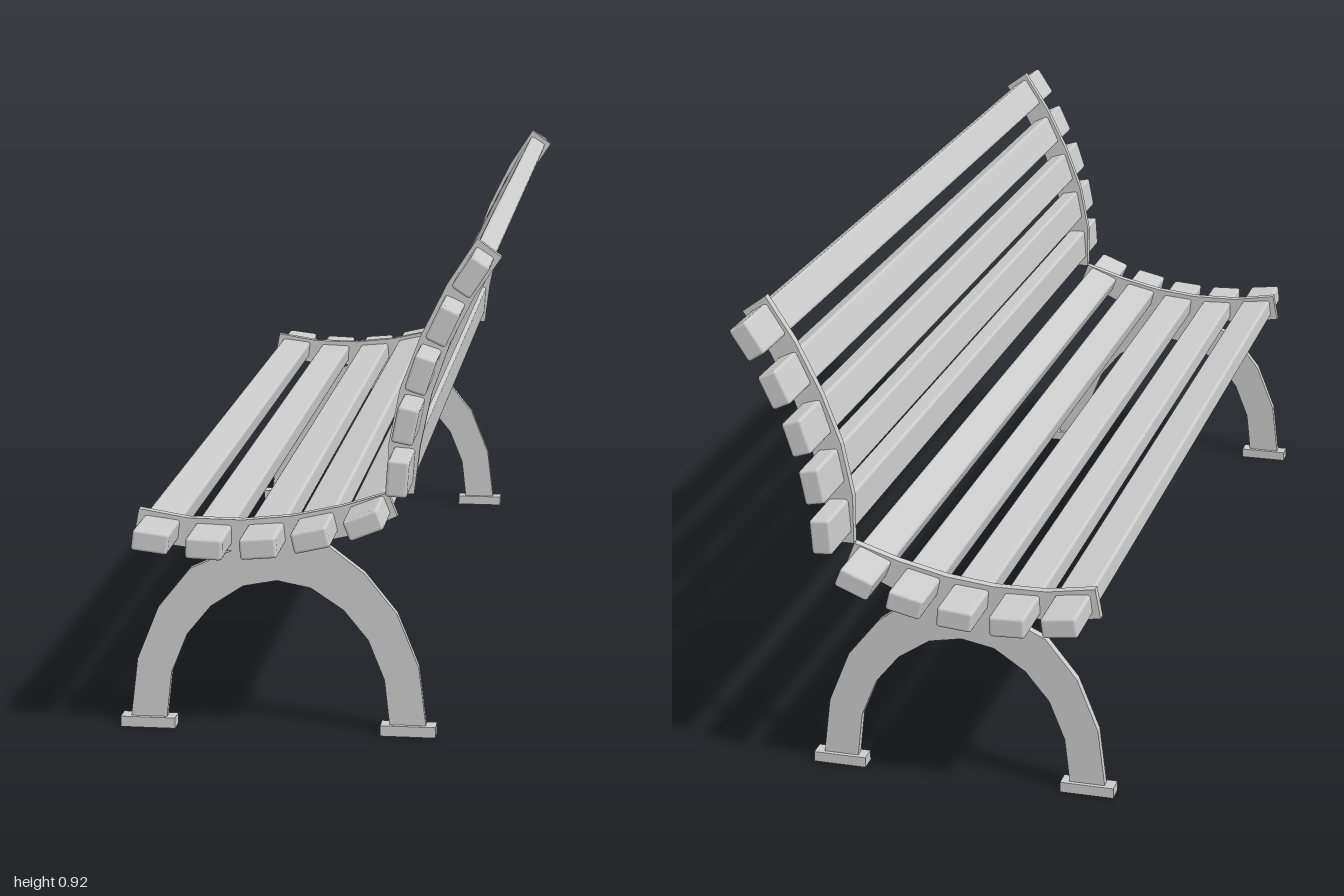
import * as THREE from 'three';
import { RoundedBoxGeometry } from 'three/addons/geometries/RoundedBoxGeometry.js';

const material = new THREE.MeshStandardMaterial({ color: 0xcccccc });
const flatMaterial = new THREE.MeshStandardMaterial({ color: 0xcccccc, flatShading: true });
const PLATE = 0.016; // thickness of the iron side frames
const FRAME_Z = 0.885;

// Flat plate cut from an outline in the xy plane, centred on z = 0
function plate(name, outline) {
  const shape = new THREE.Shape(outline.map(([x, y]) => new THREE.Vector2(x, y)));
  const geometry = new THREE.ExtrudeGeometry(shape, { depth: PLATE, bevelEnabled: false });
  geometry.translate(0, 0, -PLATE / 2);
  const mesh = new THREE.Mesh(geometry, flatMaterial);
  mesh.name = name;
  return mesh;
}

// Mirror half an arch profile about the arch's centre line
const ARCH_X = -0.0575;
const mirrored = (points) => points.map(([x, y]) => [2 * ARCH_X - x, y]).reverse();

function createFrame() {
  const frame = new THREE.Group();

  // Arched leg
  const outer = [[-0.332, 0.015], [-0.318, 0.13], [-0.278, 0.23], [-0.218, 0.305], [-0.138, 0.342]];
  const inner = [[-0.265, 0.015], [-0.255, 0.105], [-0.225, 0.18], [-0.18, 0.235], [-0.12, 0.275]];
  frame.add(plate('archLeg', [
    ...outer, [-0.1, 0.36], [0.01, 0.375], ...mirrored(outer).map(([x, y], i) => i === 0 ? [0.028, 0.362] : [x, y]),
    ...mirrored(inner).reverse().slice().map((p) => p),
    [ARCH_X, 0.287], ...inner.slice().reverse(),
  ]));

  // Curved seat support
  frame.add(plate('seatSupport', [
    [-0.322, 0.358], [-0.225, 0.345], [-0.138, 0.341], [-0.075, 0.345], [0, 0.357], [0.076, 0.375], [0.163, 0.414],
    [0.146, 0.457], [0.062, 0.43], [-0.03, 0.409], [-0.12, 0.399], [-0.22, 0.4], [-0.311, 0.415],
  ]));

  // Curved back support
  frame.add(plate('backSupport', [
    [0.147, 0.456], [0.193, 0.456], [0.204, 0.545], [0.224, 0.64], [0.257, 0.735], [0.3, 0.82], [0.347, 0.89],
    [0.303, 0.922], [0.25, 0.84], [0.203, 0.745], [0.167, 0.65], [0.147, 0.55],
  ]));

  // Foot pads
  for (const x of [-0.299, 0.184]) {
    const foot = new THREE.Mesh(new THREE.BoxGeometry(0.102, 0.02, 0.032), flatMaterial);
    foot.name = 'foot';
    foot.position.set(x, 0.01, 0);
    frame.add(foot);
  }
  return frame;
}

export function createModel() {
  const bench = new THREE.Group();
  bench.name = 'bench';

  for (const side of [1, -1]) {
    const frame = createFrame();
    frame.name = side > 0 ? 'leftFrame' : 'rightFrame';
    frame.position.z = side * FRAME_Z;
    bench.add(frame);
  }

  // Wooden slats: x, y, tilt in degrees
  const slatGeometry = new RoundedBoxGeometry(0.067, 0.039, 2, 2, 0.006);
  const slats = {
    seatSlat: [[-0.271, 0.38, -7], [-0.174, 0.37, -2], [-0.076, 0.374, 5], [0.018, 0.392, 13], [0.113, 0.422, 22]],
    backSlat: [[0.173, 0.508, 86], [0.187, 0.604, 79], [0.213, 0.695, 72], [0.252, 0.783, 65], [0.3, 0.87, 57]],
  };
  for (const [name, rows] of Object.entries(slats)) {
    for (const [x, y, tilt] of rows) {
      const slat = new THREE.Mesh(slatGeometry, material);
      slat.name = name;
      slat.position.set(x, y, 0);
      slat.rotation.z = THREE.MathUtils.degToRad(tilt);
      bench.add(slat);
    }
  }
  return bench;
}
